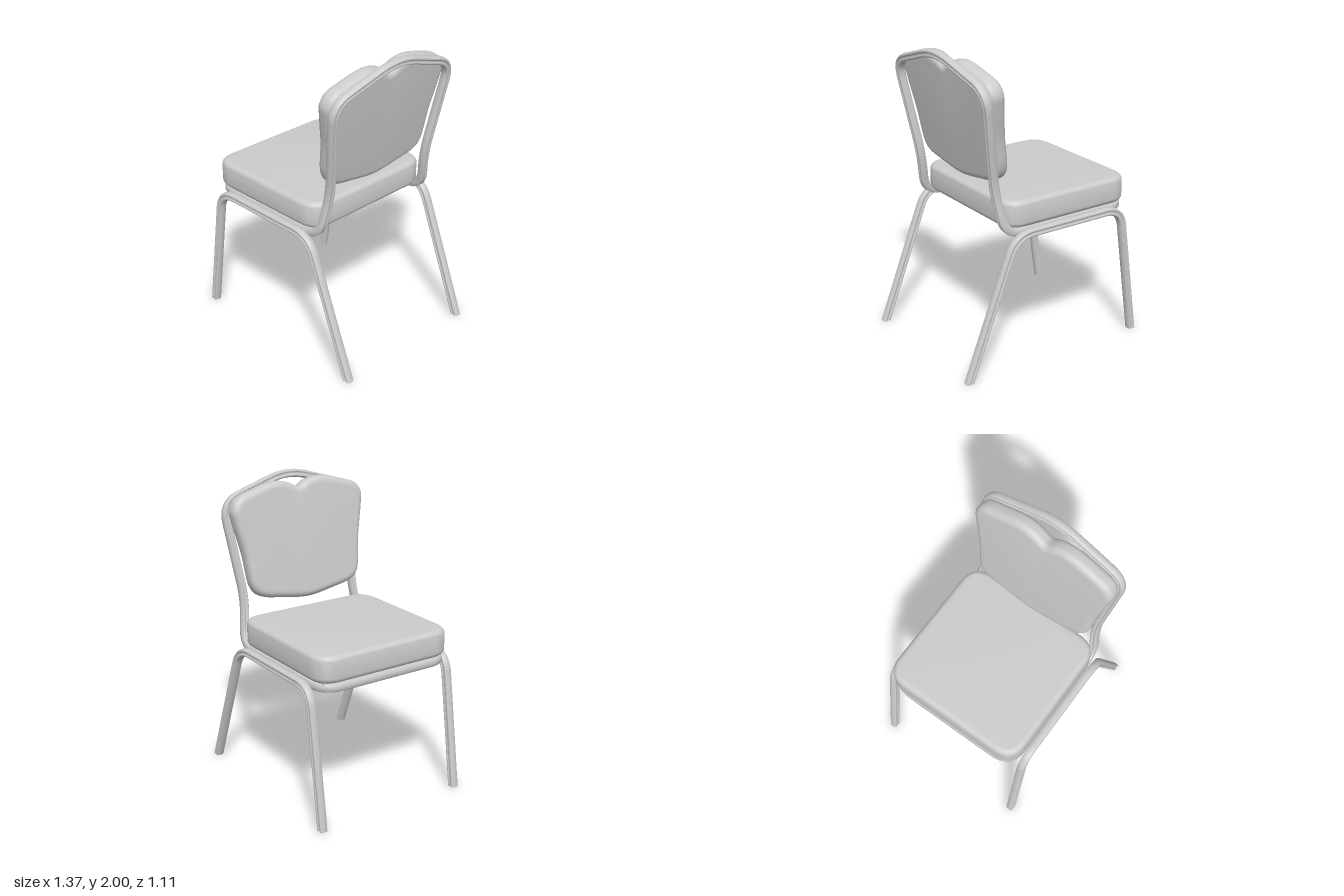
import * as THREE from 'three';
import { mergeVertices, toCreasedNormals } from 'three/addons/utils/BufferGeometryUtils.js';

const V = (x, y, z = 0) => new THREE.Vector3(x, y, z);
const material = new THREE.MeshStandardMaterial({ color: 0xcccccc, roughness: 0.7 });

// Polyline with rounded corners; each corner is [point, cut distance]
function roundedPath(corners, closed) {
  const n = corners.length, out = [];
  corners.forEach(([p, cut], i) => {
    if (!closed && (i === 0 || i === n - 1)) { out.push(p.clone()); return; }
    const toward = (q) => q.clone().sub(p).setLength(cut).add(p);
    const a = toward(corners[(i + n - 1) % n][0]), b = toward(corners[(i + 1) % n][0]);
    out.push(...new THREE.QuadraticBezierCurve3(a, p, b).getPoints(10));
  });
  return out;
}

// Tube section: soft square with a shallow groove on two opposite faces
const quarter = [[0.027, 0], [0.025, 0.017], [0.019, 0.025], [0.011, 0.026], [0.005, 0.021], [0, 0.020]];
const half = [...quarter, ...quarter.slice(0, -1).reverse().map(([a, b]) => [-a, b])];
const section = [...half, ...half.slice(1, -1).reverse().map(([a, b]) => [a, -b])];

// Sweep the section along points; normalAt gives the grooved direction
function sweep(points, normalAt, closed) {
  const n = points.length, m = section.length, pos = [], idx = [];
  points.forEach((p, i) => {
    const prev = closed ? points[(i + n - 1) % n] : points[Math.max(i - 1, 0)];
    const next = closed ? points[(i + 1) % n] : points[Math.min(i + 1, n - 1)];
    const T = p.clone().sub(prev).normalize().add(next.clone().sub(p).normalize()).normalize();
    const B = normalAt(p).cross(T).normalize();
    const N = T.clone().cross(B);
    for (const [a, b] of section) {
      const v = p.clone().addScaledVector(B, a).addScaledVector(N, b);
      // cut open ends level with the floor
      if (!closed && (i === 0 || i === n - 1)) v.addScaledVector(T, -v.y / T.y);
      pos.push(v.x, v.y, v.z);
    }
  });
  for (let i = 0; i < (closed ? n : n - 1); i++) {
    const r = i * m, s = ((i + 1) % n) * m;
    for (let j = 0; j < m; j++) {
      const k = (j + 1) % m;
      idx.push(r + j, r + k, s + k, r + j, s + k, s + j);
    }
  }
  if (!closed) {
    const c = n * m, last = (n - 1) * m;
    for (const p of [points[0], points[n - 1]]) pos.push(p.x, p.y, p.z);
    for (let j = 0; j < m; j++) {
      const k = (j + 1) % m;
      idx.push(c, k, j, c + 1, last + j, last + k);
    }
  }
  const g = new THREE.BufferGeometry();
  g.setAttribute('position', new THREE.Float32BufferAttribute(pos, 3));
  g.setIndex(idx);
  return toCreasedNormals(g, 0.7);
}

// Padded slab with rounded edges, from an outline in XY, thickness along +z from 0
function cushion(outline, thickness, round) {
  const g = new THREE.ExtrudeGeometry(new THREE.Shape(outline.map((p) => new THREE.Vector2(p.x, p.y))), {
    depth: thickness - 2 * round, bevelThickness: round, bevelSize: round,
    bevelOffset: -round, bevelSegments: 6, steps: 1,
  });
  g.translate(0, 0, round);
  g.deleteAttribute('uv');
  g.deleteAttribute('normal');
  return toCreasedNormals(mergeVertices(g, 1e-5), 0.6);
}

export function createModel() {
  const model = new THREE.Group();
  model.name = 'stackingChair';
  const add = (name, geometry) => {
    const mesh = new THREE.Mesh(geometry, material);
    mesh.name = name;
    model.add(mesh);
    return mesh;
  };

  // Leg frames, one on each side
  for (const side of [-1, 1]) {
    const z = side * 0.527;
    const path = roundedPath([
      [V(-0.662, 0, z), 0], [V(-0.532, 0.907, z), 0.13],
      [V(0.305, 0.907, z), 0.13], [V(0.656, 0, z), 0],
    ], false);
    add(side > 0 ? 'leftLegFrame' : 'rightLegFrame', sweep(path, () => V(0, 0, 1), false));
  }

  // One closed tube: around the seat, up the sides and over the back
  const backX = (y) => 0.37 + (y - 1.05) * 0.169;
  const sideCorners = [
    [-0.6, 0.905, 0.472, 0.14], [backX(0.905), 0.905, 0.472, 0.12],
    [backX(1.2), 1.2, 0.428, 0.12], [backX(1.84), 1.84, 0.512, 0.13],
  ];
  const corner = (s) => ([x, y, z, cut]) => [V(x, y, s * z), cut];
  const loop = roundedPath([
    ...sideCorners.map(corner(-1)), [V(backX(1.995), 1.995, 0), 0.15],
    ...sideCorners.map(corner(1)).reverse(),
  ], true);
  const tilt = Math.atan(0.169);
  add('seatAndBackFrame', sweep(loop, (p) => {
    const a = THREE.MathUtils.smoothstep(p.y, 0.9, 1.02) * (Math.PI / 2 - tilt);
    return V(-Math.sin(a), Math.cos(a), 0);
  }, true));

  // Seat cushion
  const seatOutline = roundedPath([
    [V(-0.627, -0.505), 0.15], [V(0.337, -0.505), 0.15],
    [V(0.337, 0.505), 0.15], [V(-0.627, 0.505), 0.15],
  ], true);
  const seat = cushion(seatOutline, 0.178, 0.038);
  seat.rotateX(-Math.PI / 2).translate(0, 0.933, 0);
  add('seatCushion', seat);

  // Seat base board and its cross strips
  add('seatBoard', new THREE.BoxGeometry(0.86, 0.016, 0.92).translate(-0.145, 0.927, 0));
  for (const x of [-0.33, 0.1]) {
    add('crossStrip', new THREE.BoxGeometry(0.11, 0.014, 0.92).translate(x, 0.914, 0));
  }

  // Back cushion with a pointed lower edge and a dip between two top lobes
  const sidePoints = [
    [0.2, 0.026], [0.36, 0.062], [0.415, 0.12], [0.45, 0.35], [0.495, 0.56],
    [0.505, 0.64], [0.465, 0.71], [0.34, 0.757], [0.17, 0.793], [0.07, 0.775],
  ];
  const backOutline = new THREE.CatmullRomCurve3([
    V(0, 0), ...sidePoints.map(([u, v]) => V(u, v)), V(0, 0.742),
    ...sidePoints.map(([u, v]) => V(-u, v)).reverse(),
  ], true).getPoints(120).slice(0, -1);
  const back = cushion(backOutline, 0.118, 0.045);
  back.rotateY(-Math.PI / 2).rotateZ(-tilt).translate(0.366, 1.165, 0);
  add('backCushion', back);

  return model;
}
